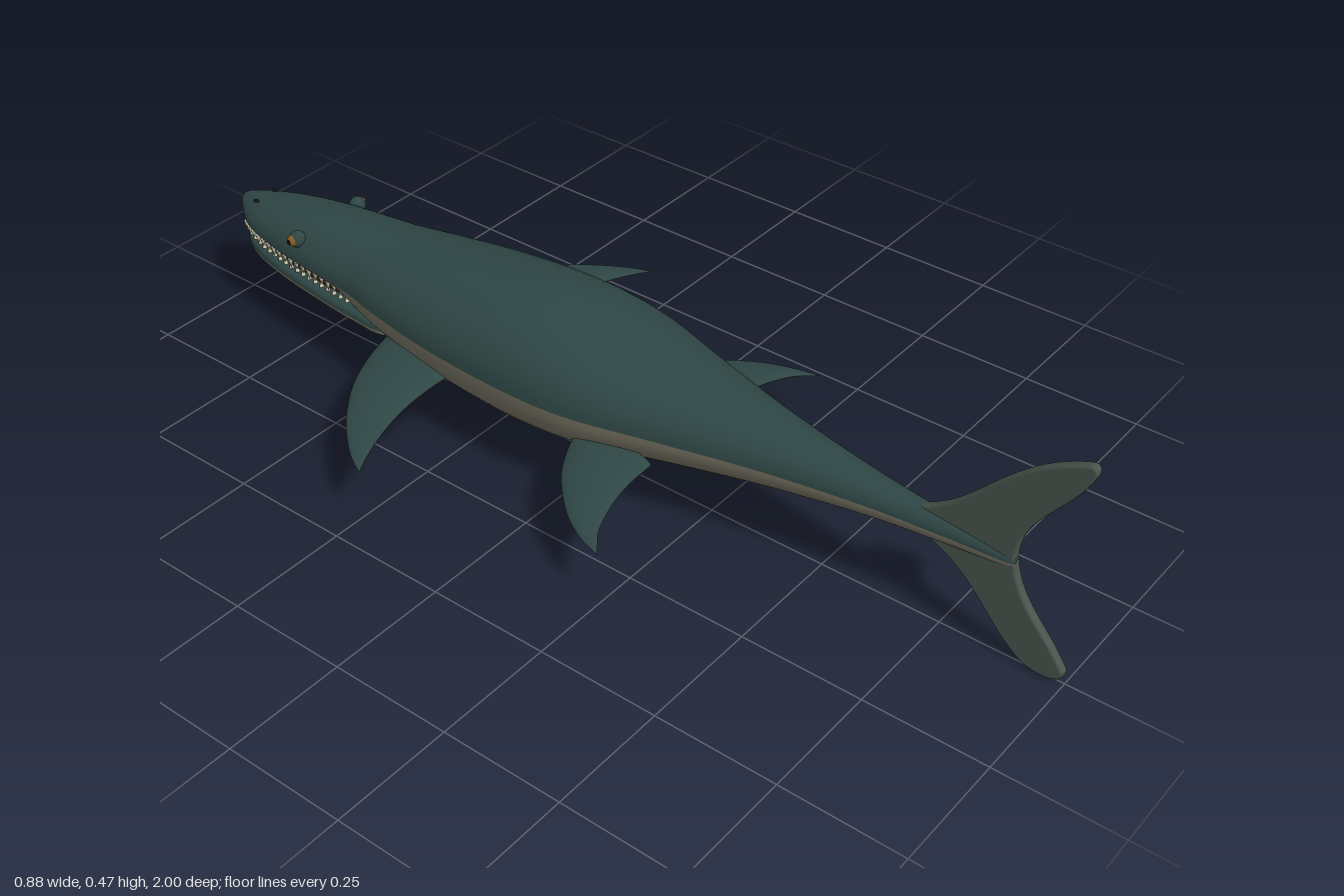
import * as THREE from 'three';

const BACK = 0x2e4644, BELLY = 0x757262, FIN = 0x48544c;
const mat = (color, side = THREE.FrontSide) => new THREE.MeshStandardMaterial({ color, side, roughness: 0.8 });

function addMesh(parent, name, geometry, material) {
  const m = new THREE.Mesh(geometry, material);
  m.name = name;
  parent.add(m);
  return m;
}

// Smooth skin through rings of points
function loft(rings) {
  const n = rings[0].length, index = [];
  for (let i = 0; i < rings.length - 1; i++) {
    for (let j = 0; j < n - 1; j++) {
      const a = i * n + j, b = a + 1, c = a + n, d = c + 1;
      index.push(a, b, c, b, d, c);
    }
  }
  const g = new THREE.BufferGeometry();
  g.setAttribute('position', new THREE.Float32BufferAttribute(rings.flat(2), 3));
  g.setIndex(index);
  g.computeVertexNormals();
  return g;
}

// Stations [z, halfWidth, top, seam, bottom] refined with smooth curves
function refine(stations, count) {
  const curve = (f) => new THREE.CatmullRomCurve3(stations.map(f), false, 'catmullrom', 0.5);
  const a = curve((s) => new THREE.Vector3(s[0], s[1], s[2]));
  const b = curve((s) => new THREE.Vector3(s[3], s[4], 0));
  return Array.from({ length: count + 1 }, (_, i) => {
    const p = a.getPoint(i / count), q = b.getPoint(i / count);
    return [p.x, Math.max(p.y, 0), p.z, q.x, q.y];
  });
}

// Upper or lower half of a body; power below 1 squares the section
function halfBody(sections, upper, power = 1) {
  const bend = (v) => Math.sign(v) * Math.abs(v) ** power;
  return loft(sections.map(([z, w, top, seam, bottom]) =>
    Array.from({ length: 25 }, (_, j) => {
      const t = (j / 24 + (upper ? 0 : 1)) * Math.PI;
      const h = upper ? top - seam : seam - bottom;
      return [w * bend(Math.cos(t)), seam + h * bend(Math.sin(t)), z];
    })));
}

// Curved paddle; stations [x, leadingZ, trailingZ, y, halfThickness]
function addFin(parent, name, stations, s) {
  const curve = (f) => new THREE.CatmullRomCurve3(stations.map(f), false, 'catmullrom', 0.5);
  const a = curve((p) => new THREE.Vector3(p[0], p[1], p[2]));
  const b = curve((p) => new THREE.Vector3(p[3], p[4], 0));
  const fin = new THREE.Group();
  fin.name = name;
  for (const upper of [true, false]) {
    const rings = Array.from({ length: 21 }, (_, i) => {
      const p = a.getPoint(i / 20), q = b.getPoint(i / 20);
      return Array.from({ length: 13 }, (_, j) => {
        const t = (j / 12 + (upper ? 0 : 1)) * Math.PI;
        return [s * p.x, q.x + q.y * Math.sin(t), (p.y + p.z) / 2 + (p.z - p.y) / 2 * Math.cos(t)];
      });
    });
    if (s > 0) rings.reverse();
    addMesh(fin, upper ? 'finTop' : 'finUnderside', loft(rings), mat(upper ? BACK : BELLY));
  }
  parent.add(fin);
}

export function createModel() {
  const model = new THREE.Group();
  model.name = 'marineReptile';

  // Body with upper jaw
  const body = refine([
    [-1, 0, 0.238, 0.236, 0.234], [-0.98, 0.025, 0.25, 0.23, 0.218], [-0.92, 0.065, 0.262, 0.222, 0.206],
    [-0.83, 0.09, 0.279, 0.22, 0.203], [-0.74, 0.105, 0.291, 0.22, 0.203], [-0.63, 0.117, 0.301, 0.22, 0.2],
    [-0.57, 0.124, 0.306, 0.22, 0.145], [-0.48, 0.144, 0.315, 0.22, 0.115], [-0.32, 0.169, 0.334, 0.22, 0.09],
    [-0.14, 0.178, 0.35, 0.218, 0.079], [0.02, 0.17, 0.339, 0.218, 0.091], [0.2, 0.125, 0.308, 0.218, 0.122],
    [0.4, 0.075, 0.28, 0.218, 0.152], [0.6, 0.04, 0.255, 0.218, 0.178], [0.75, 0.023, 0.242, 0.216, 0.19],
    [0.87, 0.012, 0.228, 0.214, 0.2], [0.88, 0, 0.214, 0.214, 0.214],
  ], 96);
  addMesh(model, 'back', halfBody(body, true), mat(BACK));
  addMesh(model, 'belly', halfBody(body, false), mat(BELLY));

  // Lower jaw
  const jaw = refine([
    [-0.98, 0, 0.168, 0.166, 0.163], [-0.96, 0.032, 0.178, 0.163, 0.147], [-0.9, 0.065, 0.181, 0.16, 0.138],
    [-0.8, 0.09, 0.182, 0.16, 0.134], [-0.68, 0.108, 0.182, 0.16, 0.134], [-0.57, 0.118, 0.182, 0.16, 0.132],
    [-0.48, 0.11, 0.18, 0.16, 0.132], [-0.46, 0, 0.16, 0.16, 0.16],
  ], 42);
  addMesh(model, 'lowerJaw', halfBody(jaw, true, 0.6), mat(BACK));
  addMesh(model, 'chin', halfBody(jaw, false, 0.8), mat(BELLY));

  // Mouth lining
  const mouth = refine([
    [-0.92, 0, 0.2, 0.19, 0.18], [-0.88, 0.045, 0.212, 0.192, 0.172],
    [-0.74, 0.08, 0.212, 0.192, 0.172], [-0.54, 0.1, 0.212, 0.192, 0.172],
  ], 16);
  for (const upper of [true, false])
    addMesh(model, upper ? 'palate' : 'tongue', halfBody(mouth, upper, 0.5), mat(0x4a2a25));

  // Teeth in two rows per side
  const toothMat = mat(0xd8d0b4);
  const widthAt = (sections, z) => {
    const i = Math.max(1, sections.findIndex((s) => s[0] > z));
    const [p, q] = [sections[i - 1], sections[i]];
    return p[1] + (q[1] - p[1]) * (z - p[0]) / (q[0] - p[0]);
  };
  for (const s of [1, -1]) {
    for (let i = 0; i < 18; i++) {
      const z = -0.95 + i * 0.02, h = i % 3 ? 0.018 : 0.023;
      const top = addMesh(model, 'upperTooth', new THREE.ConeGeometry(0.006, h, 6), toothMat);
      top.rotation.x = Math.PI;
      top.position.set(s * widthAt(body, z) * 0.88, 0.208 - h / 2, z);
      const low = addMesh(model, 'lowerTooth', new THREE.ConeGeometry(0.005, 0.018, 6), toothMat);
      low.position.set(s * widthAt(jaw, z + 0.01) * 0.85, 0.187, z + 0.01);
    }

    // Eye and nostril
    const ball = (name, r, color, x, y, z) => {
      const m = addMesh(model, name, new THREE.SphereGeometry(r, 16, 12), mat(color));
      m.position.set(s * x, y, z);
      return m;
    };
    ball('eyeSocket', 0.018, BACK, 0.087, 0.264, -0.745);
    ball('eye', 0.0125, 0x8a5a20, 0.097, 0.264, -0.747);
    ball('pupil', 0.006, 0x0a0a0a, 0.1055, 0.264, -0.748);
    ball('nostril', 0.006, 0x101616, 0.027, 0.257, -0.93).scale.set(0.8, 0.6, 1.4);

    // Flippers
    const side = s > 0 ? 'left' : 'right';
    addFin(model, side + 'FrontFlipper', [
      [0.12, -0.47, -0.28, 0.16, 0.021], [0.19, -0.453, -0.288, 0.154, 0.018], [0.27, -0.42, -0.287, 0.146, 0.013],
      [0.35, -0.36, -0.272, 0.137, 0.008], [0.41, -0.293, -0.252, 0.129, 0.004], [0.44, -0.24, -0.238, 0.125, 0.001],
    ], s);
    addFin(model, side + 'RearFlipper', [
      [0.12, 0.02, 0.195, 0.158, 0.02], [0.18, 0.043, 0.193, 0.152, 0.017], [0.24, 0.08, 0.2, 0.144, 0.012],
      [0.3, 0.143, 0.218, 0.134, 0.007], [0.332, 0.2, 0.24, 0.128, 0.003], [0.347, 0.25, 0.252, 0.125, 0.001],
    ], s);
  }

  // Upright tail fin, drawn as (z, y)
  const tail = new THREE.Shape();
  tail.moveTo(0.68, 0.235);
  tail.bezierCurveTo(0.8, 0.28, 0.83, 0.41, 0.985, 0.469);
  tail.quadraticCurveTo(0.998, 0.472, 0.993, 0.455);
  tail.bezierCurveTo(0.96, 0.37, 0.87, 0.32, 0.875, 0.22);
  tail.bezierCurveTo(0.89, 0.13, 0.95, 0.1, 0.992, 0.03);
  tail.bezierCurveTo(0.995, 0.01, 0.95, 0.002, 0.915, 0.02);
  tail.bezierCurveTo(0.83, 0.08, 0.82, 0.16, 0.68, 0.205);
  tail.closePath();
  const tailGeo = new THREE.ExtrudeGeometry(tail, {
    depth: 0.008, bevelThickness: 0.006, bevelSize: 0.005, bevelSegments: 3, curveSegments: 20,
  });
  tailGeo.translate(0, 0, -0.004).rotateY(-Math.PI / 2);
  addMesh(model, 'tailFin', tailGeo, mat(FIN));

  return model;
}
